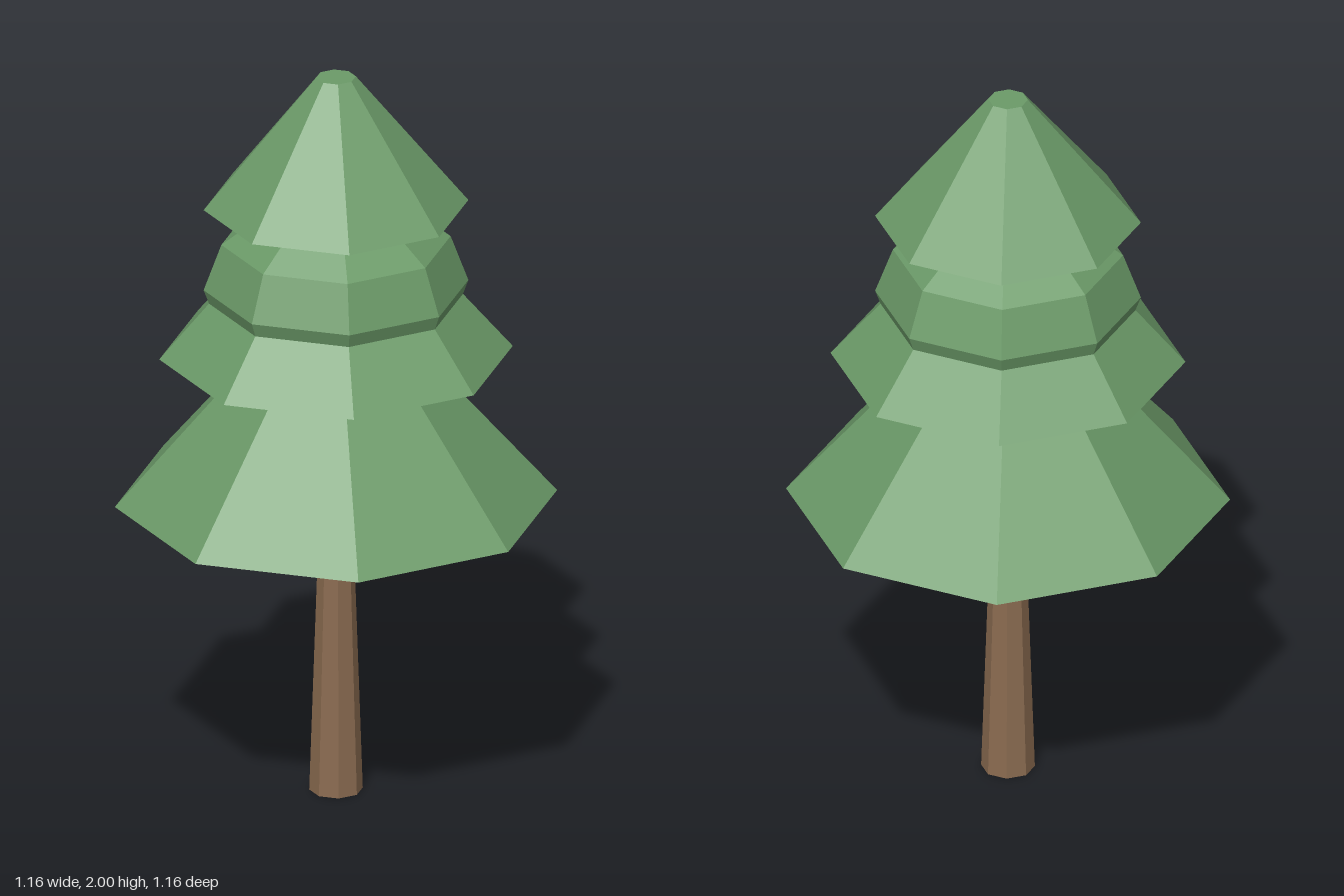
import * as THREE from 'three';

const SIDES = 8;

export function createModel() {
  const tree = new THREE.Group();
  tree.name = 'pineTree';
  const leaf = new THREE.MeshStandardMaterial({ color: 0x6b9a68, flatShading: true });
  const bark = new THREE.MeshStandardMaterial({ color: 0x8a6b50, flatShading: true });

  // Closed eight-sided frustum standing on y0
  function frustum(name, material, y0, r0, y1, r1) {
    const mesh = new THREE.Mesh(new THREE.CylinderGeometry(r1, r0, y1 - y0, SIDES), material);
    mesh.position.y = (y0 + y1) / 2;
    mesh.name = name;
    tree.add(mesh);
  }

  // Trunk, running up into the lowest tier
  frustum('trunk', bark, 0, 0.07, 0.95, 0.038);

  // Foliage tiers, each tucked into the one above
  frustum('lowerFoliage', leaf, 0.815, 0.578, 1.41, 0.055);
  frustum('middleFoliage', leaf, 1.225, 0.462, 1.6, 0.14);
  frustum('topFoliage', leaf, 1.64, 0.346, 2, 0.052);

  // Flattened ball of foliage between the middle and top tiers
  const ball = new THREE.Mesh(new THREE.SphereGeometry(0.346, SIDES, 6), leaf);
  ball.name = 'roundFoliage';
  ball.scale.y = 0.725;
  ball.position.y = 1.415;
  tree.add(ball);

  return tree;
}
